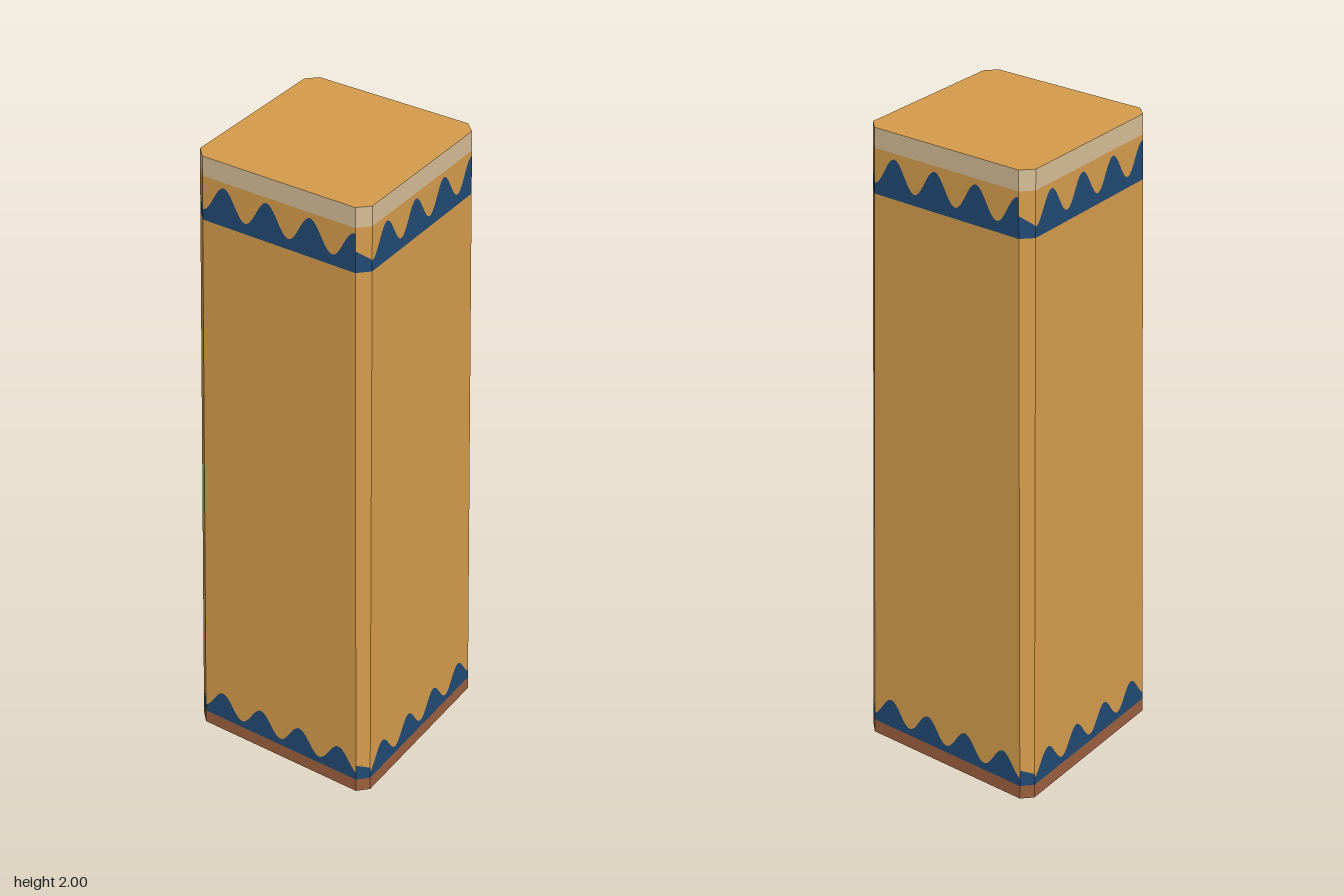
import * as THREE from 'three';

const material = (name, color) => {
  const m = new THREE.MeshStandardMaterial({ color });
  m.name = name;
  return m;
};

// Tapered square section with chamfered corners: flat-face distance and half width at height y
const faceDist = (y) => 0.313 - 0.0175 * y;
const faceHalf = (y) => 0.282 - 0.018 * y;

// Point on one of eight panels (even = face, odd = chamfer), t runs left to right seen from outside
function panelPoint(panel, t, y) {
  const w = faceDist(y), c = faceHalf(y);
  let [x, z] = panel % 2 ? [c + (w - c) * t, w + (c - w) * t] : [c * (2 * t - 1), w];
  for (let k = 0; k < Math.floor(panel / 2); k++) [x, z] = [z, -x];
  return [x, y, z];
}

// Heights of the wavy edges across a panel
const lowerWave = (panel, t) => panel % 2
  ? 0.1 - 0.015 * t
  : 0.107 + 0.038 * Math.cos((2 * Math.PI * (0.28 * (2 * t - 1) + 0.07)) / 0.1435);
const upperWave = (panel, t) => panel % 2
  ? 1.87 - 0.03 * t
  : 1.88 + 0.043 * Math.cos((2 * Math.PI * (0.25 * (2 * t - 1) + 0.037)) / 0.142);
const level = (y) => () => y;

function flatGeometry(positions) {
  const g = new THREE.BufferGeometry();
  g.setAttribute('position', new THREE.Float32BufferAttribute(positions, 3));
  g.computeVertexNormals();
  return g;
}

// Band of surface around all eight panels between two edge curves
function band(low, high, columns) {
  const out = [];
  for (let p = 0; p < 8; p++) {
    const n = p % 2 ? Math.min(columns, 4) : columns;
    for (let i = 0; i < n; i++) {
      const t0 = i / n, t1 = (i + 1) / n;
      const a = panelPoint(p, t0, low(p, t0)), b = panelPoint(p, t1, low(p, t1));
      const c = panelPoint(p, t1, high(p, t1)), d = panelPoint(p, t0, high(p, t0));
      out.push(...a, ...b, ...c, ...a, ...c, ...d);
    }
  }
  return flatGeometry(out);
}

// Octagonal end plate
function lid(y, up) {
  const out = [];
  for (let p = 0; p < 8; p++) {
    const a = panelPoint(p, 0, y), b = panelPoint(p, 1, y);
    out.push(0, y, 0, ...(up ? a : b), ...(up ? b : a));
  }
  return flatGeometry(out);
}

export function createModel() {
  const ochre = material('ochre', 0xd59c4c);
  const blue = material('deep blue', 0x214a74);
  const clay = material('clay red', 0x9c5f3e);
  const sand = material('pale sand', 0xd6bd97);

  const group = new THREE.Group();
  group.name = 'pillar';
  const add = (name, geometry, mat) => {
    const mesh = new THREE.Mesh(geometry, mat);
    mesh.name = name;
    group.add(mesh);
  };

  add('underside', lid(0, false), ochre);
  add('baseBand', band(level(0), level(0.045), 1), clay);
  add('lowerWaveBand', band(level(0.045), lowerWave, 64), blue);
  add('shaft', band(lowerWave, level(1.805), 64), ochre);
  add('upperWaveBand', band(level(1.805), upperWave, 64), blue);
  add('neck', band(upperWave, level(1.94), 64), ochre);
  add('rimBand', band(level(1.94), level(2), 1), sand);
  add('topPlate', lid(2, true), ochre);
  return group;
}
